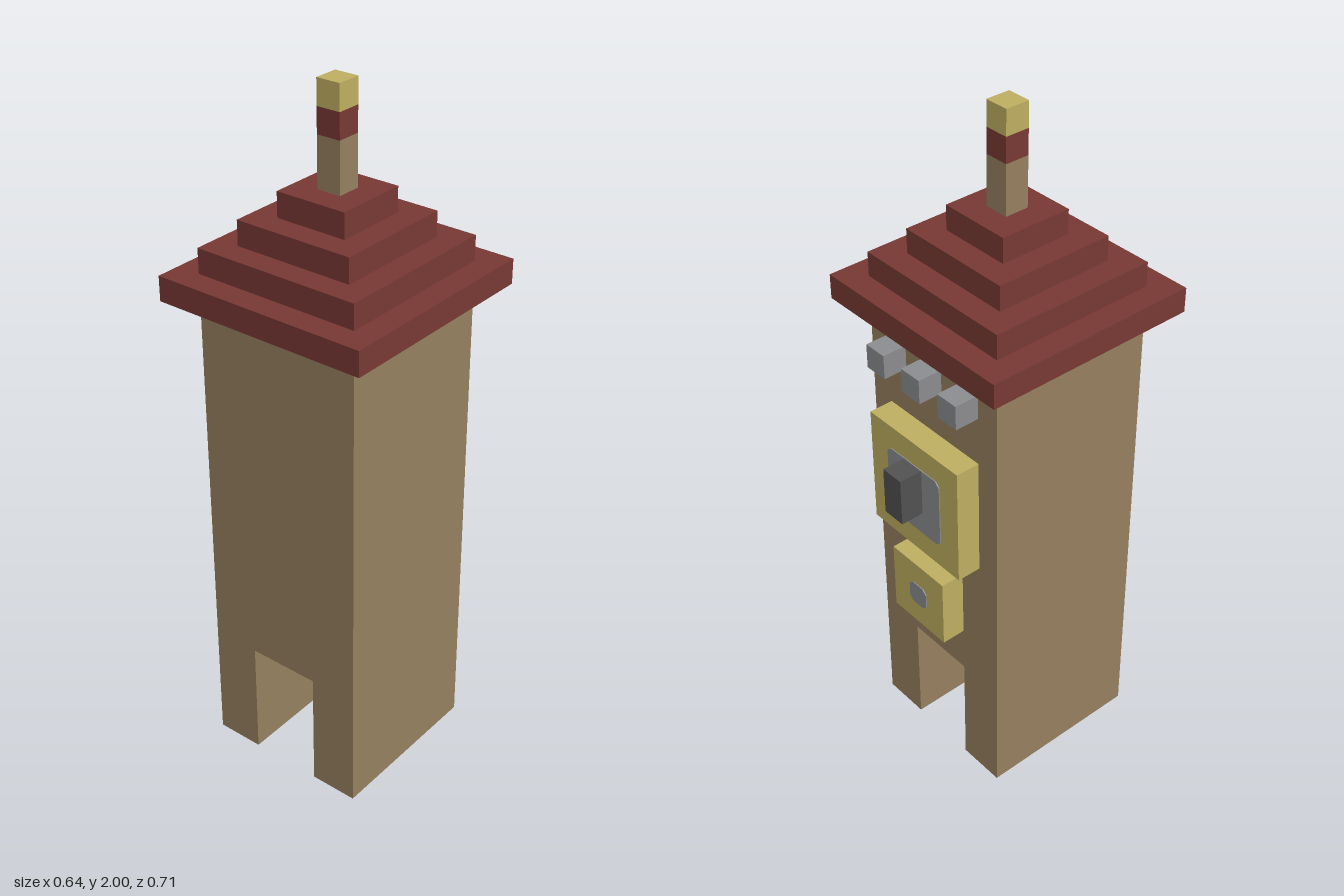
import * as THREE from 'three';

const U = 1 / 14; // one building block

const mat = (name, color) => {
  const m = new THREE.MeshStandardMaterial({ color });
  m.name = name;
  return m;
};

export function createModel() {
  const tower = new THREE.Group();
  tower.name = 'tower';

  const stone = mat('tan stone', 0x957f5f);
  const red = mat('roof red', 0x773833);
  const yellow = mat('pale yellow', 0xbeae60);
  const grey = mat('grey', 0x8b8c8f);
  const dark = mat('dark grey', 0x515151);

  const add = (name, geometry, material) => {
    const mesh = new THREE.Mesh(geometry, material);
    mesh.name = name;
    tower.add(mesh);
    return mesh;
  };

  // Box centred on x, given by its bottom and back corner, in blocks
  const block = (name, material, x, y, z, w, h, d) =>
    add(name, new THREE.BoxGeometry(w * U, h * U, d * U), material)
      .position.set(x * U, (y + h / 2) * U, (z + d / 2) * U);

  // Thin square plate with clipped corners on a back-facing surface
  const plate = (name, y, z, size, clip) => {
    const a = size / 2, b = a - clip;
    const points = [[-b, -a], [b, -a], [a, -b], [a, b], [b, a], [-b, a], [-a, b], [-a, -b]];
    const shape = new THREE.Shape(points.map(([px, py]) => new THREE.Vector2(px * U, py * U)));
    const geometry = new THREE.ExtrudeGeometry(shape, { depth: 0.004, bevelEnabled: false });
    add(name, geometry, grey).position.set(0, y * U, z * U - 0.003);
  };

  // Tower body with a passage running through it
  const outline = [[-3.5, 0], [-1.5, 0], [-1.5, 5], [1.5, 5], [1.5, 0], [3.5, 0], [3.5, 20], [-3.5, 20]];
  const body = new THREE.Shape(outline.map(([x, y]) => new THREE.Vector2(x * U, y * U)));
  add('body', new THREE.ExtrudeGeometry(body, { depth: 7 * U, bevelEnabled: false }), stone)
    .position.z = -3 * U;

  // Stepped roof
  for (let i = 0; i < 4; i++) {
    const w = 9 - 2 * i;
    block('roofStep' + (i + 1), red, 0, 20 + i, i - 4, w, 1, w);
  }

  // Spire with red band and yellow tip
  block('spire', stone, 0, 24, 0, 1, 2, 1);
  block('spireBand', red, 0, 26, 0, 1, 1, 1);
  block('spireTip', yellow, 0, 27, 0, 1, 1, 1);

  // Row of studs under the eaves at the back
  for (const x of [-2, 0, 2]) block('stud', grey, x, 18, -4, 1, 1, 1);

  // Large panel with grey face and dark hand
  block('largePanel', yellow, 0, 11, -4, 5, 5, 1);
  plate('largePanelFace', 13.5, -4, 3, 0.2);
  block('hand', dark, 0, 13, -5, 1, 2, 1);

  // Small panel with grey centre
  block('smallPanel', yellow, 0, 7, -4, 3, 3, 1);
  plate('smallPanelFace', 8.5, -4, 1, 0.2);

  return tower;
}
